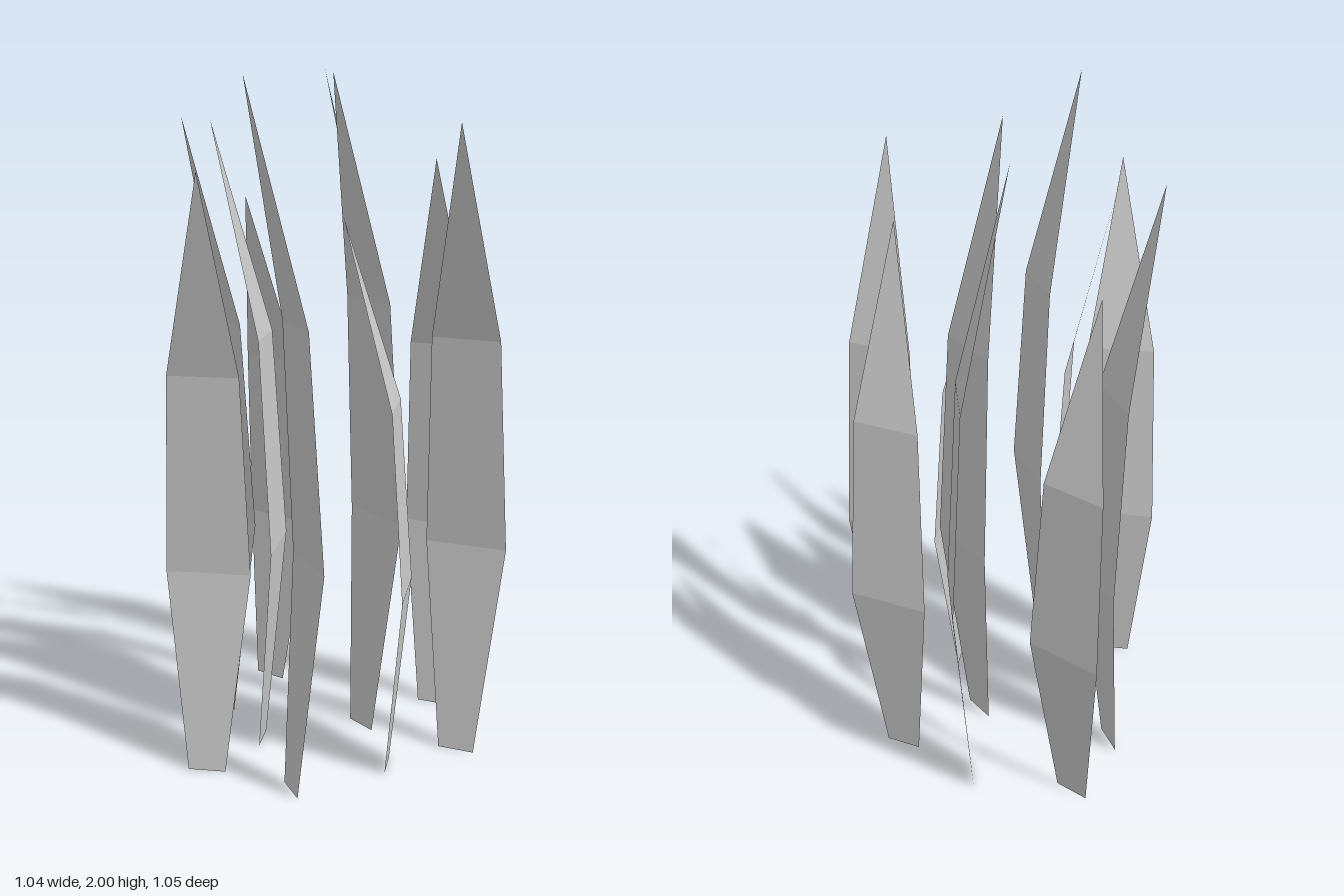
import * as THREE from 'three';

// One thin grass blade of unit height: rows of [height, half width, forward bend], then a tip
function bladeGeometry() {
  const rows = [[0, 0.055, 0.053], [0.336, 0.124, 0], [0.67, 0.104, 0.037]];
  const tip = [0.026, 1, 0.187];
  const positions = [];
  for (const [y, half, z] of rows) positions.push(-half, y, z, half, y, z);
  positions.push(...tip);

  const index = [];
  for (let i = 0; i < rows.length - 1; i++) {
    const a = i * 2;
    index.push(a, a + 1, a + 3, a, a + 3, a + 2);
  }
  index.push(4, 5, 6);

  const geometry = new THREE.BufferGeometry();
  geometry.setAttribute('position', new THREE.Float32BufferAttribute(positions, 3));
  geometry.setIndex(index);
  const flat = geometry.toNonIndexed();
  flat.computeVertexNormals();
  return flat;
}

export function createModel() {
  const group = new THREE.Group();
  group.name = 'grassTuft';
  const material = new THREE.MeshStandardMaterial({
    color: 0xcccccc, flatShading: true, side: THREE.DoubleSide,
  });
  const geometry = bladeGeometry();

  // Each blade: x, z, turn in degrees, height
  const blades = [
    [0.0875, -0.4625, 30, 1.75],
    [-0.1125, -0.3675, -30, 2],
    [0.4, -0.2875, 30, 1.87],
    [-0.4, -0.1675, 15, 1.62],
    [0.115, -0.1725, 0, 2],
    [0.43, -0.0425, -45, 1.62],
    [-0.2475, 0.0775, -15, 1.87],
    [0.06, 0.15, -45, 1.87],
    [0.377, 0.267, -15, 2],
    [0.0775, 0.4075, 45, 1.75],
  ];
  blades.forEach(([x, z, turn, height], i) => {
    const blade = new THREE.Mesh(geometry, material);
    blade.name = `grassBlade${i + 1}`;
    blade.position.set(x, 0, z);
    blade.rotation.y = THREE.MathUtils.degToRad(turn);
    blade.scale.y = height;
    group.add(blade);
  });
  return group;
}
